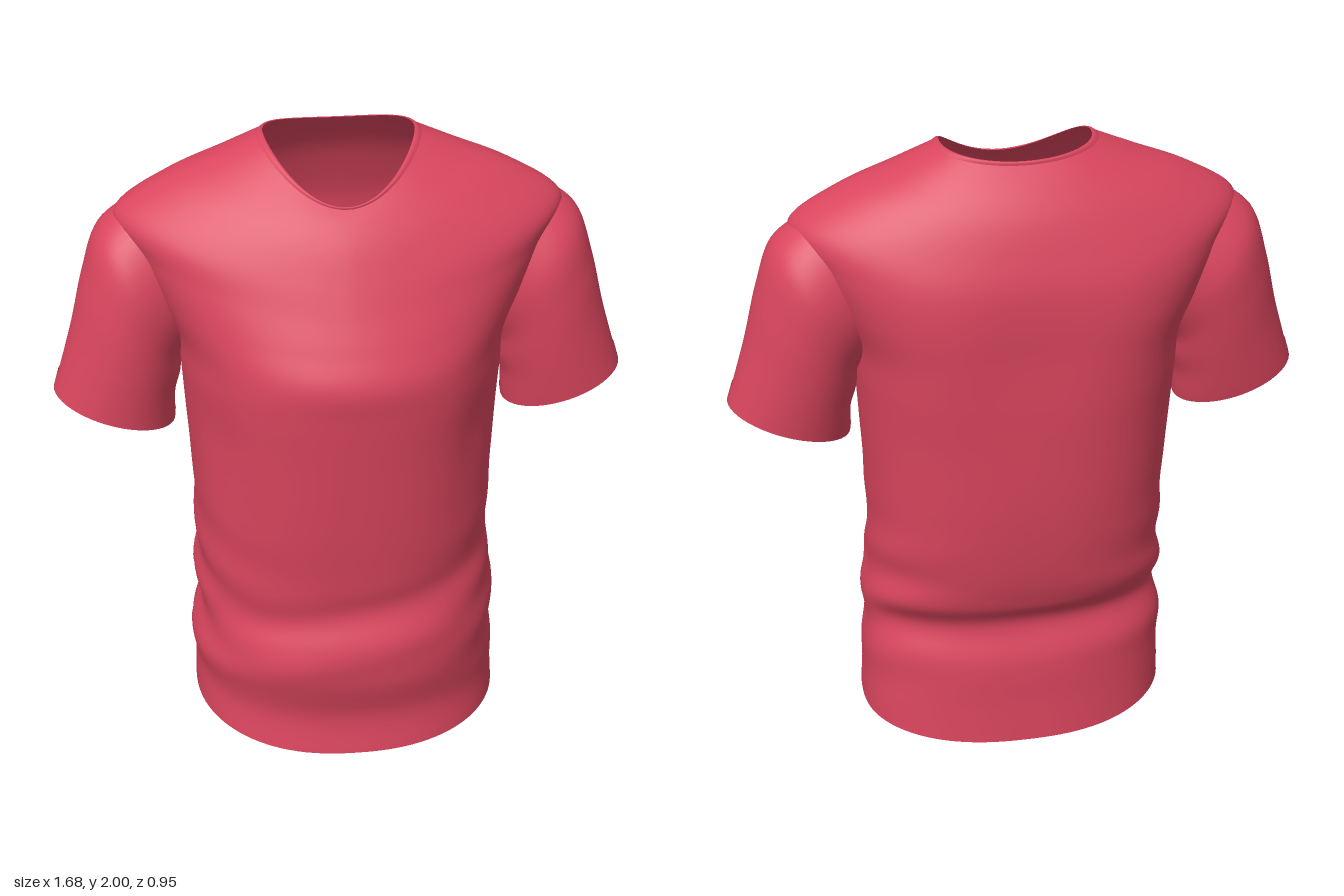
import * as THREE from 'three';

// Smoothly interpolates every column of a table of cross-sections, t in 0..1
function sample(table, t) {
  const f = t * (table.length - 1);
  const i = Math.min(Math.floor(f), table.length - 2);
  const u = f - i;
  const row = (k) => table[Math.max(0, Math.min(table.length - 1, k))];
  return table[i].map((b, c) => {
    const a = row(i - 1)[c], d = row(i + 1)[c], e = row(i + 2)[c];
    const m0 = (d - a) / 2, m1 = (e - b) / 2;
    return b + m0 * u + (3 * (d - b) - 2 * m0 - m1) * u * u + (2 * (b - d) + m0 + m1) * u * u * u;
  });
}

// Closed rings joined into an open tube; skip(p) leaves out faces near p
function loft(rows, cols, point, flip, skip) {
  const pos = [], index = [];
  for (let i = 0; i <= rows; i++)
    for (let j = 0; j < cols; j++) pos.push(...point(i / rows, (j / cols) * Math.PI * 2));
  for (let i = 0; i < rows; i++) {
    for (let j = 0; j < cols; j++) {
      const a = i * cols + j, b = i * cols + ((j + 1) % cols), c = a + cols, d = b + cols;
      if (skip && skip(pos[a * 3], pos[a * 3 + 1], pos[a * 3 + 2])) continue;
      if (flip) index.push(a, b, c, b, d, c);
      else index.push(a, c, b, b, c, d);
    }
  }
  const g = new THREE.BufferGeometry();
  g.setAttribute('position', new THREE.Float32BufferAttribute(pos, 3));
  g.setIndex(index);
  g.computeVertexNormals();
  return g;
}

const bump = (x, w) => Math.exp(-(x * x) / (w * w));
const power = (v, n) => Math.sign(v) * Math.pow(Math.abs(v), 2 / n);

// Body rings: half width, front depth, back depth, side y, front y, back y,
// front roundness, back roundness
const BODY = [
  [0.50, 0.42, 0.33, 0.045, 0.005, 0.0, 2.3, 2.4],
  [0.495, 0.405, 0.32, 0.16, 0.14, 0.13, 2.3, 2.4],
  [0.49, 0.44, 0.31, 0.30, 0.29, 0.29, 2.3, 2.4],
  [0.485, 0.435, 0.27, 0.42, 0.42, 0.42, 2.3, 2.4],
  [0.48, 0.415, 0.325, 0.53, 0.54, 0.52, 2.3, 2.5],
  [0.475, 0.42, 0.355, 0.65, 0.66, 0.64, 2.3, 2.5],
  [0.475, 0.44, 0.38, 0.85, 0.85, 0.85, 2.3, 2.5],
  [0.49, 0.46, 0.39, 1.10, 1.10, 1.10, 2.2, 2.6],
  [0.50, 0.472, 0.40, 1.27, 1.27, 1.27, 2.2, 2.7],
  [0.51, 0.475, 0.405, 1.40, 1.38, 1.40, 2.1, 2.7],
  [0.57, 0.43, 0.405, 1.53, 1.48, 1.52, 1.95, 2.5],
  [0.64, 0.383, 0.39, 1.67, 1.57, 1.63, 1.75, 2.2],
  [0.68, 0.338, 0.355, 1.775, 1.66, 1.73, 1.65, 1.9],
  [0.54, 0.29, 0.31, 1.87, 1.75, 1.83, 1.7, 1.85],
  [0.37, 0.243, 0.255, 1.94, 1.815, 1.91, 1.85, 1.9],
  [0.228, 0.203, 0.195, 2.0, 1.855, 1.975, 2, 2],
];

function bodyPoint(t, p) {
  const [w, front, back, ys, yf, yb, nf, nb] = sample(BODY, t);
  const c = Math.cos(p), s = Math.sin(p);
  const n = s > 0 ? nf : nb;
  let y = ys + ((s > 0 ? yf : yb) - ys) * s * s;
  // Gathered cloth: slanting waist folds, side creases, hollows under the arms and along the spine
  const side = c * c;
  let f = 0.012 * bump(y - 0.40 - 0.13 * c, 0.07) * (s > 0 ? 1 : 0.5);
  f -= 0.012 * bump(y - 0.54 - 0.1 * c, 0.06) * (s > 0 ? 1 : 0.3);
  f += 0.010 * bump(y - 0.5, 0.25) * side * Math.sin(y * 30 + 3 * s + c);
  f -= 0.014 * bump(y - 1.15, 0.22) * bump(Math.abs(c) - 0.8, 0.15) * (s > 0 ? 1 : 0.2);
  if (s < 0) f -= 0.022 * bump(c, 0.3) * bump(y - 1.45, 0.25);
  f *= Math.min(1, y / 0.12);
  y = Math.max(0, y - 0.012 * c * side * Math.exp(-y * 4));
  return [
    power(c, n) * w + f * c + 0.012 * bump(y, 0.6),
    y,
    power(s, n) * (s > 0 ? front : back) + f * s - 0.05 * side * Math.max(0, (t - 0.55) / 0.45),
  ];
}

// Sleeve rings: outer x, outer y, inner x, inner y, half depth, centre z
const SLEEVE = [
  [0.62, 1.808, 0.40, 1.40, 0.165, -0.055],
  [0.735, 1.72, 0.46, 1.36, 0.195, -0.05],
  [0.79, 1.57, 0.495, 1.27, 0.195, -0.045],
  [0.835, 1.39, 0.515, 1.17, 0.185, -0.04],
  [0.895, 1.19, 0.525, 1.07, 0.168, -0.035],
];

function sleevePoint(side, t, p, grow = 0) {
  const [ox, oy, ix, iy, h, z] = sample(SLEEVE, t);
  const k = (1 + Math.cos(p) * (1 + grow)) / 2;
  const crease = 0.012 * bump(p - Math.PI, 0.9) * Math.sin(t * 18) * (1 - t);
  return [side * (ix + (ox - ix) * k + crease), iy + (oy - iy) * k,
    z + (side < 0 ? 0.03 * t : 0) + h * (1 + grow) * Math.sin(p)];
}

// Armhole: body faces lying well inside the start of a sleeve
function inArmhole(x, y, z) {
  const along = ((Math.abs(x) - 0.53) * 0.26 + (y - 1.59) * 0.375) / 0.456;
  return Math.abs(x) > 0.47 && (along / 0.22) ** 2 + ((z + 0.05) / 0.17) ** 2 < 0.5;
}

export function createModel() {
  const shirt = new THREE.Group();
  shirt.name = 'shirt';
  const cloth = new THREE.MeshStandardMaterial({ color: 0xd9455d, side: THREE.DoubleSide });
  cloth.name = 'red cloth';
  const add = (name, geometry) => {
    const mesh = new THREE.Mesh(geometry, cloth);
    mesh.name = name;
    shirt.add(mesh);
  };

  add('body', loft(120, 112, bodyPoint, false, inArmhole));

  // Collar band lying just over the neck edge
  add('collar', loft(4, 80, (t, p) => {
    const q = bodyPoint(0.985 + 0.015 * t, p);
    const lift = 0.004 * Math.sin(t * Math.PI);
    return [q[0], q[1] + lift, q[2] + lift * Math.sin(p)];
  }, false));

  for (const side of [1, -1]) {
    const label = side > 0 ? 'left' : 'right';
    add(label + 'Sleeve', loft(32, 48, (t, p) => sleevePoint(side, t, p), side > 0));
    // Stitched cuff
    add(label + 'Cuff', loft(3, 48, (t, p) => sleevePoint(side, 0.92 + 0.08 * t, p, 0.012), side > 0));
  }

  // The shirt is turned slightly towards its left
  shirt.rotation.y = 0.366;
  const model = new THREE.Group();
  model.name = 'model';
  model.add(shirt);
  return model;
}
